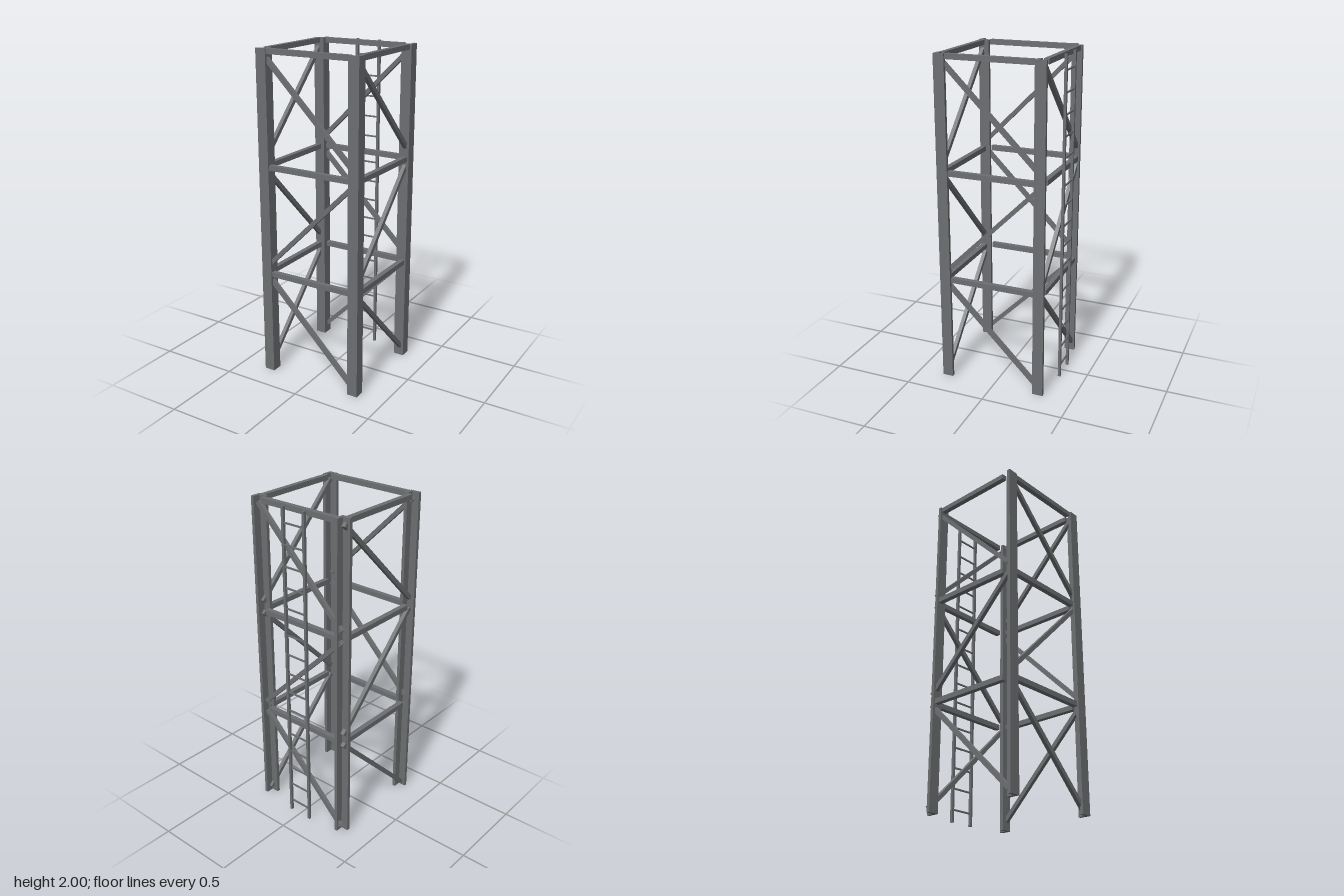
import * as THREE from 'three';

const HEIGHT = 2, BAYS = 3, BAY = HEIGHT / BAYS;
const CENTRE_Z = 0.0105; // middle of the four legs; the ladder sits behind

export function createModel() {
  const steel = new THREE.MeshStandardMaterial({ color: 0x6c6e71 });
  steel.name = 'greySteel';
  const tower = new THREE.Group();
  tower.name = 'latticeTower';

  const addBox = (parent, name, size, pos, rotZ = 0) => {
    const mesh = new THREE.Mesh(new THREE.BoxGeometry(...size), steel);
    mesh.name = name;
    mesh.position.set(...pos);
    mesh.rotation.z = rotZ;
    parent.add(mesh);
  };

  // Legs: angle sections, all with the heel towards +x and +z
  const h = 0.033, t = 0.02;
  const angle = new THREE.Shape([
    [h, -h], [-h, -h], [-h, -h + t], [h - t, -h + t], [h - t, h], [h, h],
  ].map(([x, y]) => new THREE.Vector2(x, y)));
  const legGeometry = new THREE.ExtrudeGeometry(angle, { depth: HEIGHT, bevelEnabled: false });
  legGeometry.rotateX(-Math.PI / 2);
  for (const x of [-0.3, 0.3]) {
    for (const z of [-0.298, 0.298]) {
      const leg = new THREE.Mesh(legGeometry, steel);
      leg.name = 'leg';
      leg.position.set(x, 0, CENTRE_Z + z);
      tower.add(leg);
    }
  }

  // Four sides: a beam at the top of each bay and one diagonal, alternating
  const beamShift = [-1, 1, 1, -1];
  for (let k = 0; k < 4; k++) {
    const side = new THREE.Group();
    side.name = 'bracedSide';
    side.position.z = CENTRE_Z;
    side.rotation.y = k * Math.PI / 2;
    for (let i = 0; i < BAYS; i++) {
      addBox(side, 'beam', [0.552, 0.031, 0.031],
        [beamShift[k] * 0.0105, (i + 1) * BAY - 0.0155, 0.307]);
      addBox(side, 'diagonalBrace', [0.85, 0.026, 0.024],
        [0, (i + 0.5) * BAY, 0.307], (i % 2 ? 1 : -1) * Math.PI / 4);
    }
    tower.add(side);
  }

  // Ladder on the back: two rails, five rungs per bay
  const ladder = new THREE.Group();
  ladder.name = 'ladder';
  ladder.position.z = -0.339;
  for (const x of [-0.075, 0.075]) {
    addBox(ladder, 'ladderRail', [0.016, HEIGHT, 0.016], [x, HEIGHT / 2, 0]);
  }
  for (let i = 0; i < BAYS; i++) {
    for (let j = 0; j < 5; j++) {
      addBox(ladder, 'ladderRung', [0.14, 0.009, 0.008], [0, i * BAY + 0.075 + j * 0.125, 0]);
    }
  }
  tower.add(ladder);

  return tower;
}
